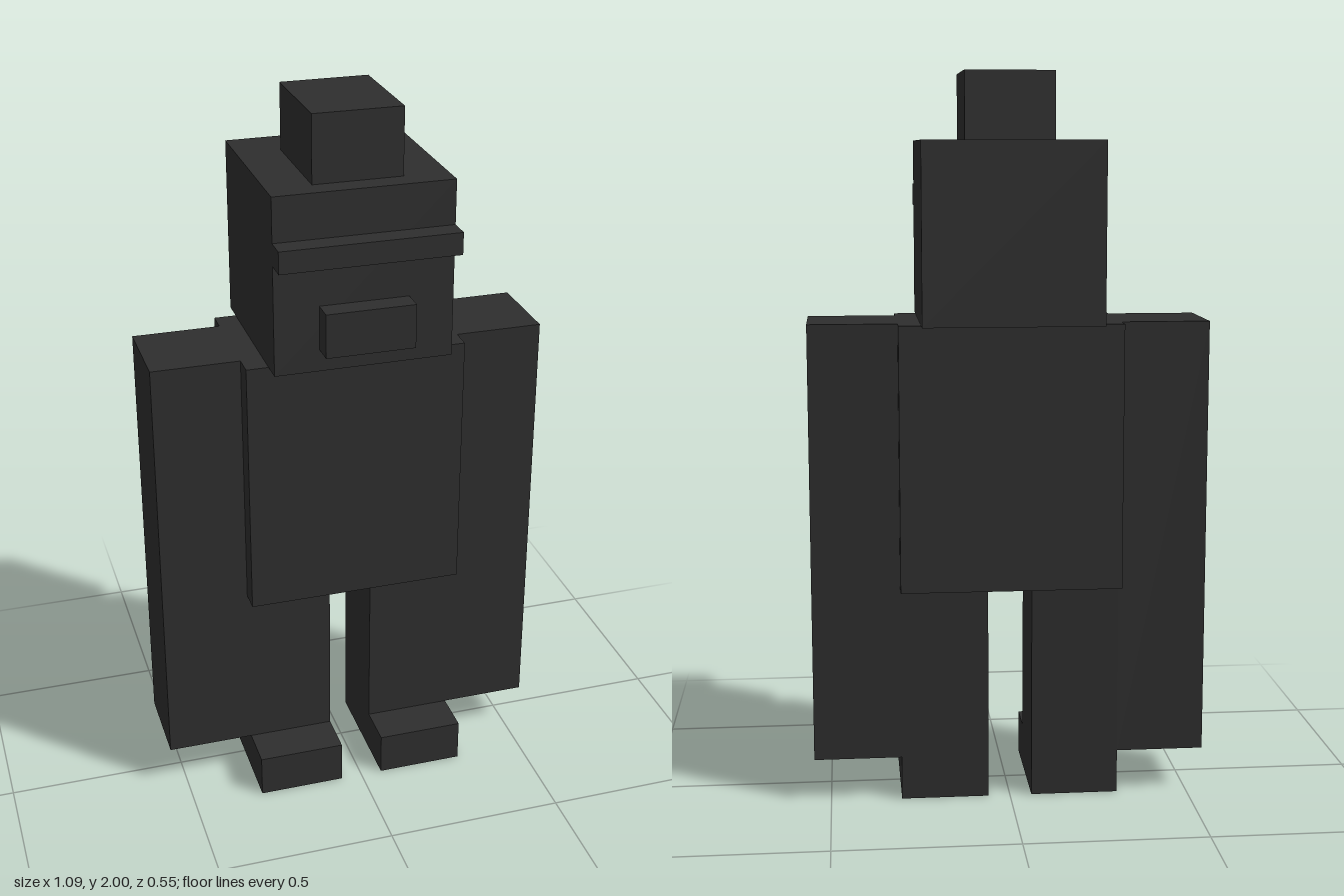
import * as THREE from 'three';

// One block of the figure's grid; the figure is 33 blocks tall
const U = 2 / 33;

export function createModel() {
  const model = new THREE.Group();
  model.name = 'blockFigure';

  const charcoal = new THREE.MeshStandardMaterial({ color: 0x2e2e2e });
  charcoal.name = 'charcoal';

  // Box given by its extents in blocks: [min, max] along each axis
  function block(name, [x0, x1], [y0, y1], [z0, z1]) {
    const geometry = new THREE.BoxGeometry((x1 - x0) * U, (y1 - y0) * U, (z1 - z0) * U);
    const mesh = new THREE.Mesh(geometry, charcoal);
    mesh.name = name;
    mesh.position.set((x0 + x1) / 2 * U, (y0 + y1) / 2 * U, (z0 + z1) / 2 * U);
    model.add(mesh);
  }

  // Head with topknot, brow ridge and muzzle
  block('topknot', [-2, 2], [30, 33], [-2.5, 2.5]);
  block('head', [-4, 4], [22, 30], [-4.5, 3.5]);
  block('brow', [-4, 4], [27, 28], [3.5, 4.5]);
  block('muzzle', [-2, 2], [23, 25], [3.5, 4.5]);

  // Torso
  block('torso', [-5, 5], [10, 22], [-3.5, 2.5]);

  // Limbs, mirrored about x = 0
  for (const [side, s] of [['left', 1], ['right', -1]]) {
    const span = (a, b) => (s > 0 ? [a, b] : [-b, -a]);
    block(side + 'Arm', span(5, 9), [2, 22], [-2.5, 1.5]);
    block(side + 'Leg', span(1, 5), [2, 10], [-2.5, 1.5]);
    block(side + 'Foot', span(1, 5), [0, 2], [-2.5, 3.5]);
  }

  return model;
}
